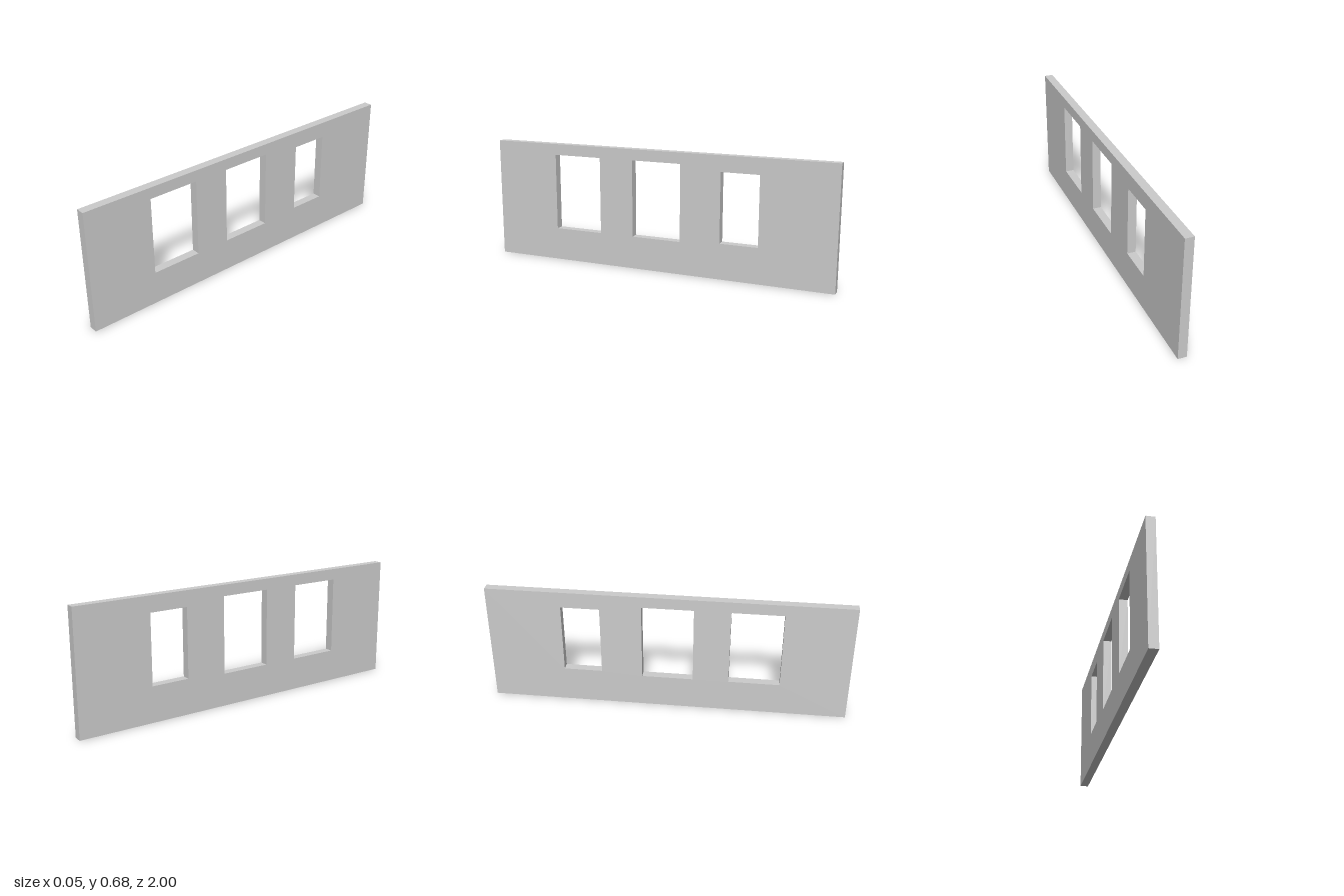
import * as THREE from 'three';

const LENGTH = 2, HEIGHT = 0.68, THICKNESS = 0.048;

// Window openings: z range and y range
const WINDOWS = [
  { z: [0.341, 0.624], y: [0.185, 0.618] },
  { z: [-0.142, 0.142], y: [0.185, 0.618] },
  { z: [-0.585, -0.371], y: [0.201, 0.591] },
];

function traceRect(path, [a0, a1], [b0, b1]) {
  path.moveTo(a0, b0);
  path.lineTo(a1, b0);
  path.lineTo(a1, b1);
  path.lineTo(a0, b1);
  path.closePath();
  return path;
}

export function createModel() {
  const group = new THREE.Group();
  group.name = 'windowWall';

  // Wall outline with the window openings cut through
  const outline = traceRect(new THREE.Shape(), [-LENGTH / 2, LENGTH / 2], [0, HEIGHT]);
  for (const w of WINDOWS) outline.holes.push(traceRect(new THREE.Path(), w.z, w.y));

  // Extrude, centre the thickness, and turn the wall's length along z
  const geometry = new THREE.ExtrudeGeometry(outline, { depth: THICKNESS, bevelEnabled: false });
  geometry.translate(0, 0, -THICKNESS / 2);
  geometry.rotateY(-Math.PI / 2);

  const wall = new THREE.Mesh(geometry, new THREE.MeshStandardMaterial({ color: 0xcccccc }));
  wall.name = 'wall';
  group.add(wall);
  return group;
}
